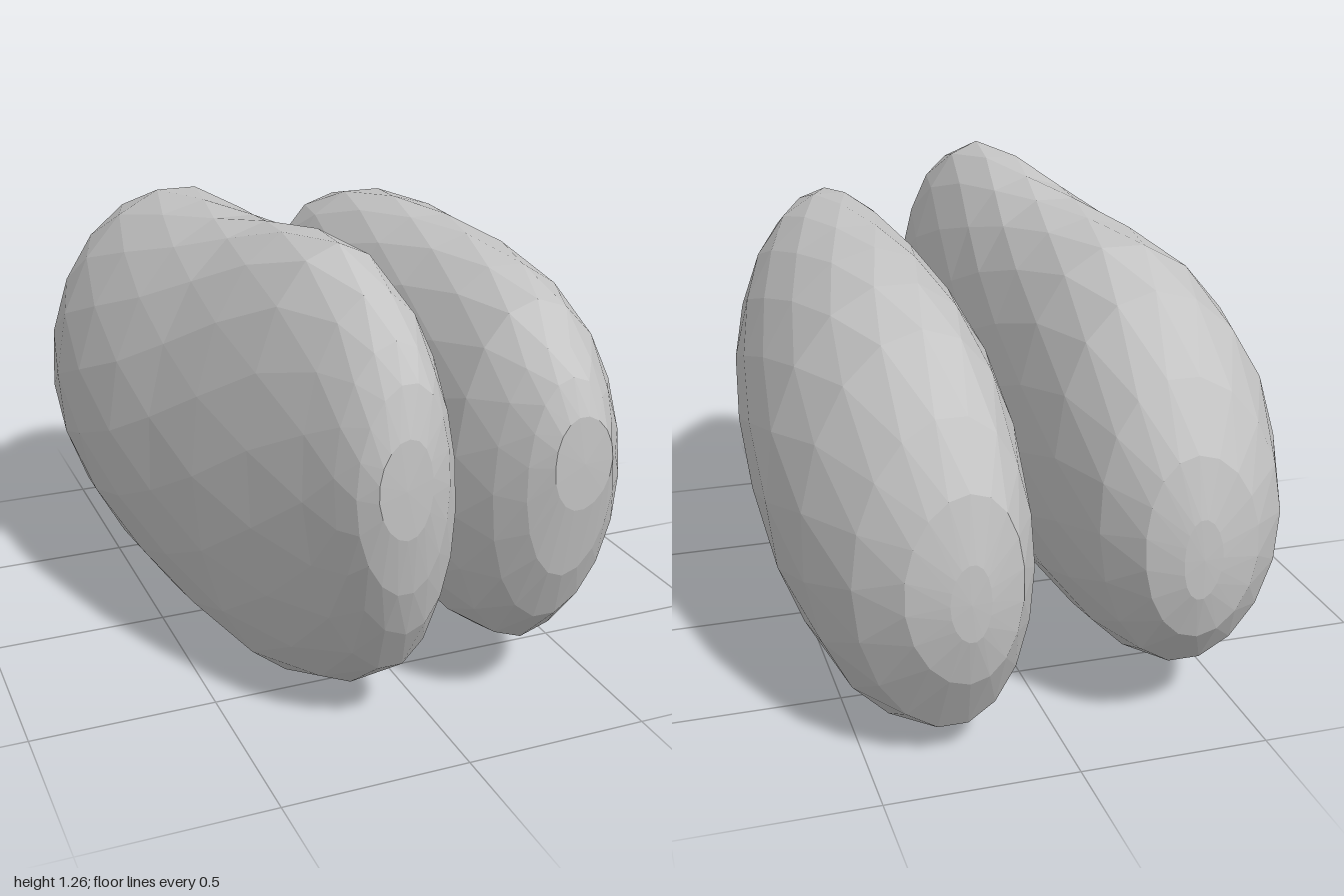
import * as THREE from 'three';

const SIDES = 18;

// Skins rows of [z, xMin, xMax, yMin, yMax, lean], ordered back to front;
// every second ring is turned by half a step to give diamond facets.
// bow pushes the crown and the belly sideways, so one flank is flatter.
function lobeGeometry(rows, bow) {
  const pos = [], index = [];
  rows.forEach(([z, x0, x1, y0, y1, lean = 0], i) => {
    const w = x1 - x0, h = y1 - y0;
    for (let j = 0; j < SIDES; j++) {
      const a = ((j + (i % 2) * 0.5) / SIDES) * Math.PI * 2;
      const c = Math.cos(a), s = Math.sin(a);
      // slight swell makes up for the flat facets
      pos.push((x0 + x1) / 2 + (w / 2) * c * 1.01 + lean * s + bow * w * s * s,
        (y0 + y1) / 2 + (h / 2) * s * 1.01, z);
    }
  });
  const id = (i, j) => i * SIDES + (j % SIDES);
  const last = rows.length - 1;
  for (let i = 0; i < last; i++) {
    for (let j = 0; j < SIDES; j++) {
      const a = id(i, j), a1 = id(i, j + 1), b = id(i + 1, j), b1 = id(i + 1, j + 1);
      if (i % 2 === 0) index.push(a, a1, b, a1, b1, b);
      else index.push(a, b1, b, a, a1, b1);
    }
  }
  // close both ends with a fan
  [0, last].forEach((i, end) => {
    const [z, x0, x1, y0, y1] = rows[i];
    const tip = pos.length / 3;
    pos.push((x0 + x1) / 2, (y0 + y1) / 2, z + (end ? 0.004 : -0.004));
    for (let j = 0; j < SIDES; j++) {
      if (end) index.push(id(i, j), id(i, j + 1), tip);
      else index.push(id(i, j + 1), id(i, j), tip);
    }
  });
  const g = new THREE.BufferGeometry();
  g.setAttribute('position', new THREE.Float32BufferAttribute(pos, 3));
  g.setIndex(index);
  g.computeVertexNormals();
  return g;
}

export function createModel() {
  const grey = new THREE.MeshStandardMaterial({ color: 0xc4c4c4, flatShading: true });
  grey.name = 'grey';

  // Even lobe, dipping at the back
  const leftRows = [
    [-0.996, 0.23, 0.33, 0.40, 0.60],
    [-0.96, 0.14, 0.43, 0.27, 0.76],
    [-0.85, 0.08, 0.53, 0.09, 0.91],
    [-0.66, 0.045, 0.615, 0.005, 1.06],
    [-0.45, 0.025, 0.665, 0.025, 1.12],
    [-0.2, 0.018, 0.67, 0.055, 1.145],
    [0.05, 0.018, 0.66, 0.08, 1.15],
    [0.3, 0.025, 0.635, 0.095, 1.15],
    [0.55, 0.035, 0.59, 0.11, 1.135],
    [0.76, 0.055, 0.515, 0.18, 1.10],
    [0.88, 0.10, 0.45, 0.30, 1.02],
    [0.955, 0.15, 0.39, 0.45, 0.965],
    [0.996, 0.20, 0.355, 0.64, 0.88],
  ];

  // Tapered lobe, narrow and tall at the front
  const rightRows = [
    [-0.996, -0.35, -0.25, 0.43, 0.64],
    [-0.96, -0.46, -0.165, 0.31, 0.79, 0.01],
    [-0.85, -0.57, -0.09, 0.18, 0.95, 0.02],
    [-0.67, -0.64, -0.035, 0.115, 1.11, 0.025],
    [-0.45, -0.67, -0.005, 0.095, 1.175, 0.025],
    [-0.2, -0.67, 0.005, 0.08, 1.185, 0.025],
    [0.03, -0.635, 0.01, 0.05, 1.195, 0.02],
    [0.22, -0.58, 0.015, 0.02, 1.215, 0.015],
    [0.42, -0.52, 0.025, 0.003, 1.245, 0],
    [0.62, -0.44, 0.033, 0.06, 1.25, -0.02],
    [0.8, -0.365, 0.02, 0.19, 1.18, -0.025],
    [0.9, -0.325, -0.015, 0.34, 1.09, -0.02],
    [0.96, -0.295, -0.06, 0.48, 1.01],
    [0.996, -0.255, -0.12, 0.64, 0.89],
  ];

  const model = new THREE.Group();
  model.name = 'pairedLobes';
  for (const [name, rows, bow] of [['leftLobe', leftRows, -0.045], ['rightLobe', rightRows, 0.045]]) {
    const lobe = new THREE.Mesh(lobeGeometry(rows, bow), grey);
    lobe.name = name;
    model.add(lobe);
  }
  return model;
}
